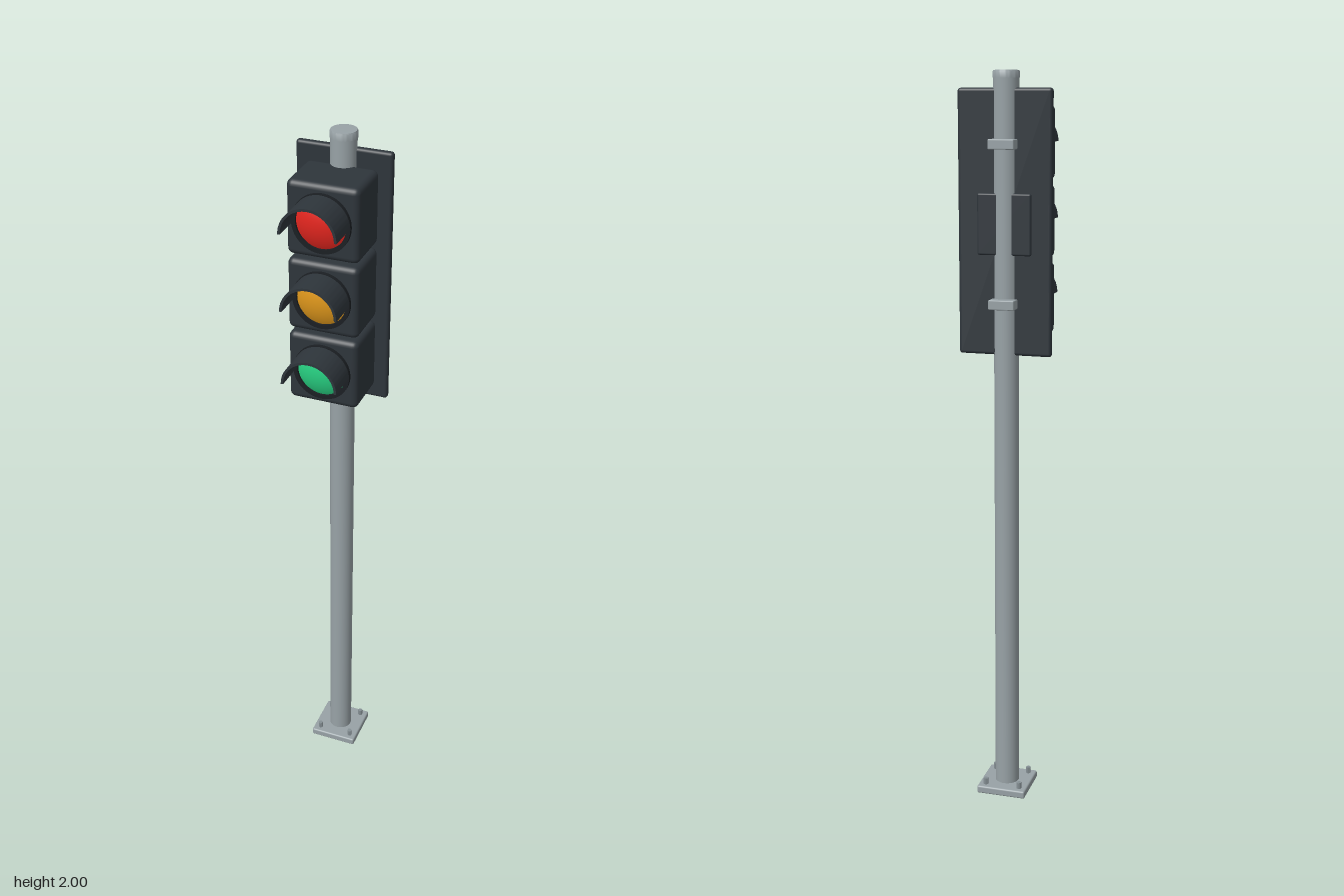
import * as THREE from 'three';
import { toCreasedNormals } from 'three/addons/utils/BufferGeometryUtils.js';
import { RoundedBoxGeometry } from 'three/addons/geometries/RoundedBoxGeometry.js';

const POLE_Z = -0.087;
const paint = (color) => new THREE.MeshStandardMaterial({ color });
const steel = paint(0x98a2a6);
const boltSteel = paint(0x858f94);
const dark = paint(0x2e353b);
const black = paint(0x1b1f23);

function add(parent, name, geometry, material, x = 0, y = 0, z = 0) {
  const mesh = new THREE.Mesh(geometry, material);
  mesh.name = name;
  mesh.position.set(x, y, z);
  parent.add(mesh);
  return mesh;
}

const box = (w, h, d, r) => new RoundedBoxGeometry(w, h, d, 3, r);

// Arc band (full ring or half tube) extruded along +z
function band(outer, inner, depth, full) {
  const shape = new THREE.Shape();
  if (full) {
    shape.absarc(0, 0, outer, 0, Math.PI * 2, false);
    const hole = new THREE.Path();
    hole.absarc(0, 0, inner, 0, Math.PI * 2, true);
    shape.holes.push(hole);
  } else {
    shape.absarc(0, 0, outer, 0, Math.PI, false);
    shape.absarc(0, 0, inner, Math.PI, 0, true);
    shape.closePath();
  }
  const geo = new THREE.ExtrudeGeometry(shape, { depth, bevelEnabled: false, curveSegments: 32 });
  return toCreasedNormals(geo, 0.6);
}

// Shallow spherical cap facing +z
function dome(radius, height) {
  const R = (radius * radius + height * height) / (2 * height);
  const geo = new THREE.SphereGeometry(R, 40, 10, 0, Math.PI * 2, 0, Math.asin(radius / R));
  return geo.translate(0, height - R, 0).rotateX(Math.PI / 2);
}

function createLamp(name, color) {
  const lamp = new THREE.Group();
  lamp.name = name;
  add(lamp, 'housing', box(0.19, 0.195, 0.143, 0.016), dark, 0, 0, -0.0135);
  add(lamp, 'bezel', band(0.077, 0.066, 0.014, true), black, 0, 0, 0.054);
  add(lamp, 'visor', band(0.0755, 0.069, 0.097, false), dark, 0, 0, 0.058);
  add(lamp, 'lens', dome(0.067, 0.018), paint(color), 0, 0, 0.061);
  return lamp;
}

export function createModel() {
  const model = new THREE.Group();
  model.name = 'trafficLight';

  // Pole with a rounded cap
  add(model, 'pole', new THREE.CylinderGeometry(0.0335, 0.0335, 1.98, 40), steel, 0, 0.995, POLE_Z);
  const capProfile = [[0, 0], [0.035, 0], [0.035, 0.015], [0.033, 0.019], [0, 0.02]]
    .map(([x, y]) => new THREE.Vector2(x, y));
  add(model, 'poleCap', toCreasedNormals(new THREE.LatheGeometry(capProfile, 40), 0.6), steel, 0, 1.98, POLE_Z);

  // Base plate with four anchor bolts
  add(model, 'basePlate', box(0.14, 0.022, 0.14, 0.005), steel, 0, 0.011, POLE_Z);
  for (const sx of [-1, 1]) {
    for (const sz of [-1, 1]) {
      const bolt = new THREE.CylinderGeometry(0.007, 0.007, 0.02, 6).toNonIndexed();
      bolt.computeVertexNormals();
      add(model, 'anchorBolt', bolt, boltSteel, sx * 0.049, 0.03, POLE_Z + sz * 0.049);
    }
  }

  // Backboard and the shallow panel behind it
  add(model, 'backboard', box(0.254, 0.69, 0.02, 0.008), dark, 0, 1.61, -0.096);
  add(model, 'rearPanel', box(0.146, 0.16, 0.02, 0.005), dark, 0, 1.61, -0.103);

  // Clamps holding the head to the pole
  for (const y of [1.815, 1.403]) {
    add(model, 'clamp', box(0.07, 0.026, 0.05, 0.003), steel, 0, y, -0.116);
  }

  // Signal lamps from top to bottom
  const lamps = [['redLamp', 0xe5261f], ['amberLamp', 0xe0981c], ['greenLamp', 0x28d283]];
  lamps.forEach(([name, color], i) => {
    const lamp = createLamp(name, color);
    lamp.position.y = 1.815 - i * 0.206;
    model.add(lamp);
  });

  return model;
}
